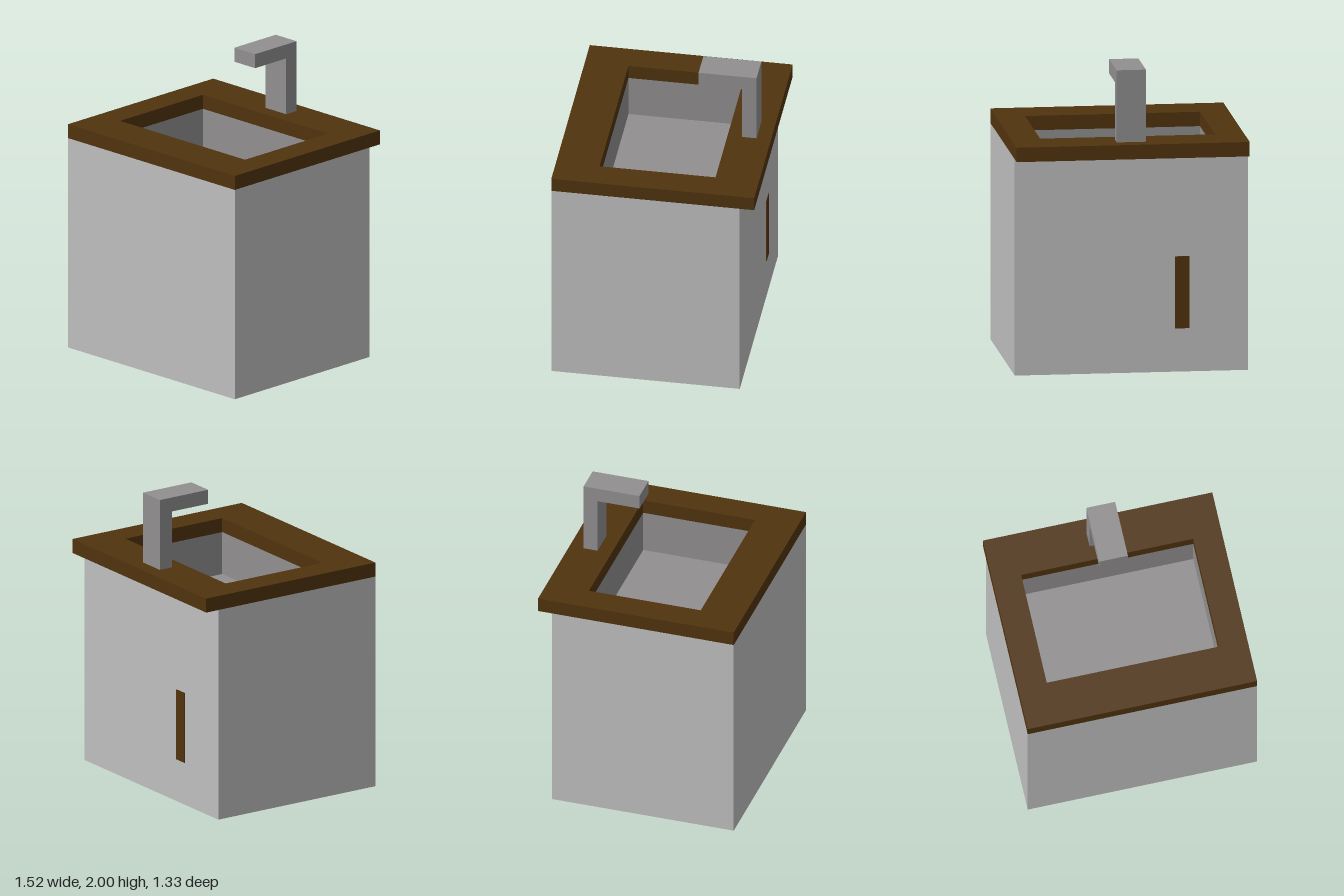
import * as THREE from 'three';

const U = 2 / 21; // grid module: the sink is 21 modules tall

const material = (name, color) => {
  const m = new THREE.MeshStandardMaterial({ color });
  m.name = name;
  return m;
};

// Rectangular outline, given by its x and z limits in modules
function outline(PathType, [x0, x1, z0, z1]) {
  const p = new PathType();
  p.moveTo(x0 * U, -z1 * U);
  p.lineTo(x1 * U, -z1 * U);
  p.lineTo(x1 * U, -z0 * U);
  p.lineTo(x0 * U, -z0 * U);
  p.closePath();
  return p;
}

// Upright rectangular frame with a through opening
function frame(name, outer, inner, y0, y1, mat) {
  const shape = outline(THREE.Shape, outer);
  shape.holes.push(outline(THREE.Path, inner));
  const geo = new THREE.ExtrudeGeometry(shape, { depth: (y1 - y0) * U, bevelEnabled: false });
  geo.rotateX(-Math.PI / 2).translate(0, y0 * U, 0);
  const mesh = new THREE.Mesh(geo, mat);
  mesh.name = name;
  return mesh;
}

// Box from its limits in modules
function box(name, [x0, x1, y0, y1, z0, z1], mat) {
  const geo = new THREE.BoxGeometry((x1 - x0) * U, (y1 - y0) * U, (z1 - z0) * U);
  geo.translate((x0 + x1) * U / 2, (y0 + y1) * U / 2, (z0 + z1) * U / 2);
  const mesh = new THREE.Mesh(geo, mat);
  mesh.name = name;
  return mesh;
}

export function createModel() {
  const cabinetGrey = material('cabinet grey', 0xbfbfbf);
  const metalGrey = material('metal grey', 0x918f90);
  const darkWood = material('dark wood', 0x50330e);
  const slate = material('slate', 0x586074);

  const group = new THREE.Group();
  group.name = 'sinkCabinet';

  // Hollow cabinet: slate cut edges, grey walls
  group.add(frame('cabinet', [-8, 8, -6, 7], [-7, 7, -5, 6], 0, 15, [slate, cabinetGrey]));

  // Wooden countertop, overhanging on the door side
  group.add(frame('countertop', [-8, 8, -7, 7], [-6, 6, -4, 4], 15, 16, darkWood));

  // Basin under the opening
  group.add(frame('basinWalls', [-7, 7, -5, 5], [-6, 6, -4, 4], 12, 15, metalGrey));
  group.add(box('basinFloor', [-7, 7, 11, 12, -5, 5], metalGrey));

  // Faucet: an L profile extruded across its width
  const profile = new THREE.Shape(
    [[-6, 16], [-5, 16], [-5, 20], [-2, 20], [-2, 21], [-6, 21]]
      .map(([z, y]) => new THREE.Vector2(z * U, y * U)));
  const faucetGeo = new THREE.ExtrudeGeometry(profile, { depth: 2 * U, bevelEnabled: false });
  faucetGeo.translate(0, 0, -U).rotateY(Math.PI / 2).rotateY(Math.PI);
  // profile axis now runs along z, with the post toward the front
  const faucet = new THREE.Mesh(faucetGeo, metalGrey);
  faucet.name = 'faucet';
  group.add(faucet);

  // Flat wooden strips: door handle and its match on the inside wall
  const t = 0.04;
  for (const [name, z] of [['doorHandle', -6], ['innerStrip', 6]]) {
    group.add(box(name, [-4, -3, 3, 8, z - t, z], darkWood));
  }
  return group;
}
